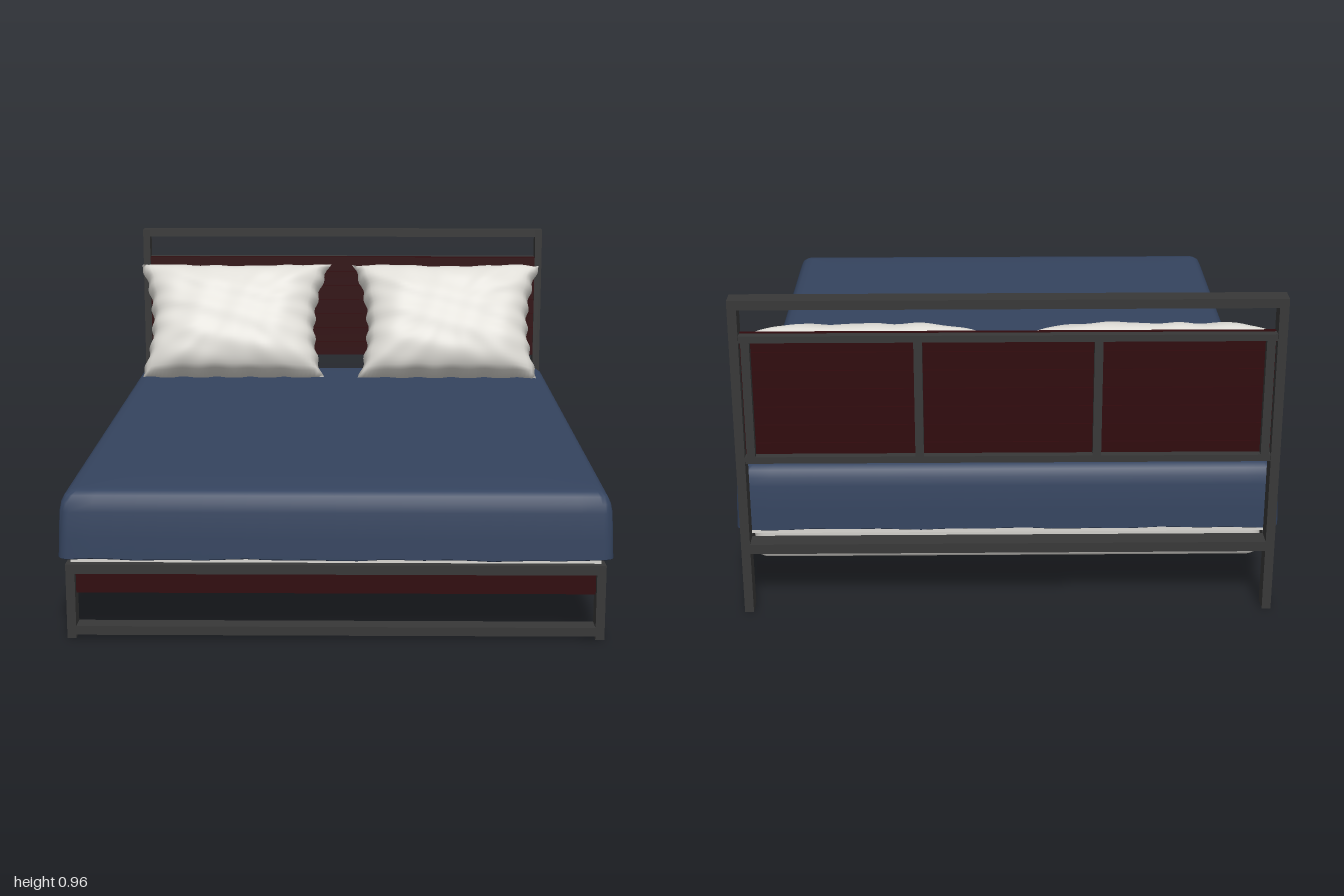
import * as THREE from 'three';
import { mergeGeometries, mergeVertices, toCreasedNormals } from 'three/addons/utils/BufferGeometryUtils.js';

const mat = (name, color, side = THREE.FrontSide) => {
  const m = new THREE.MeshStandardMaterial({ color, side });
  m.name = name;
  return m;
};

// Closed stack of rounded rectangles; rings are [inset, y] from bottom to top
function loft(hx, zBack, zFront, radius, rings, hemWave = 0) {
  const pos = [], idx = [], perCorner = 5, perEdge = 24;
  const cz = (zBack + zFront) / 2, hz = (zFront - zBack) / 2;
  const outline = (inset) => {
    const r = Math.max(radius - inset * 0.3, 0.005), pts = [];
    const ax = hx - inset - r, az = hz - inset - r;
    const corners = [[ax, az], [-ax, az], [-ax, -az], [ax, -az]];
    corners.forEach(([x, z], c) => {
      for (let i = 0; i <= perCorner; i++) {
        const a = (c + i / perCorner) * Math.PI / 2;
        pts.push([x + r * Math.cos(a), z + r * Math.sin(a)]);
      }
      const [x0, z0] = pts[pts.length - 1], [nx, nz] = corners[(c + 1) % 4];
      const a = (c + 1) * Math.PI / 2;
      const x1 = nx + r * Math.cos(a), z1 = nz + r * Math.sin(a);
      for (let i = 1; i < perEdge; i++) {
        const t = i / perEdge;
        pts.push([x0 + (x1 - x0) * t, z0 + (z1 - z0) * t]);
      }
    });
    return pts;
  };
  let n = 0;
  rings.forEach(([inset, y], k) => {
    const pts = outline(inset);
    n = pts.length;
    pts.forEach(([x, z]) => {
      const wave = k < 2 ? hemWave * (Math.sin(x * 31 + z * 23) + Math.sin(x * 13 - z * 47)) : 0;
      pos.push(x, y + wave, z + cz);
    });
  });
  for (let k = 0; k < rings.length - 1; k++) {
    for (let i = 0; i < n; i++) {
      const a = k * n + i, b = k * n + (i + 1) % n;
      idx.push(a, a + n, b, b, a + n, b + n);
    }
  }
  // Bottom and top caps
  const top = (rings.length - 1) * n, c = pos.length / 3;
  pos.push(0, rings[0][1], cz, 0, rings[rings.length - 1][1], cz);
  for (let i = 0; i < n; i++) {
    const j = (i + 1) % n;
    idx.push(c, i, j, c + 1, top + j, top + i);
  }
  const g = new THREE.BufferGeometry();
  g.setAttribute('position', new THREE.Float32BufferAttribute(pos, 3));
  g.setIndex(idx);
  return toCreasedNormals(g, 0.7);
}

// Leaning pillow: two bulged sheets joined at a seam, pinched between the corners
function pillowGeometry(seed) {
  const halves = [1, -1].map((side) => {
    const g = new THREE.PlaneGeometry(2, 2, 44, 36);
    if (side < 0) g.rotateY(Math.PI);
    const p = g.attributes.position;
    for (let i = 0; i < p.count; i++) {
      const u = p.getX(i), v = p.getY(i);
      const edge = Math.max(0, (1 - u ** 4) * (1 - v ** 4));
      const folds = Math.sin(u * 9 + v * 5 + seed) * Math.sin(v * 8 - u * 4 + seed * 2)
        + 0.7 * Math.sin(Math.atan2(v, u) * 17 + seed) * Math.hypot(u, v) ** 3;
      const bulge = side * (0.128 * Math.sqrt(edge) + 0.005 * folds * Math.sqrt(edge));
      const ripple = 0.005 * Math.sin(v * 19 + seed) * Math.abs(u) ** 8;
      const x = u * (0.353 + 0.012 * v - 0.045 * (1 - v * v)) + ripple;
      const t = (v + 1) / 2;
      const sag = 0.018 * v * (1 - u * u) * (v > 0 ? 1 : 0) + 0.003 * Math.sin(u * 17 + seed) * v ** 8;
      const y = 0.435 + 0.395 * t - sag + bulge * 0.545;
      const z = -0.69 - 0.24 * t + bulge * 0.84;
      p.setXYZ(i, x, Math.max(0.432, y), Math.max(-0.944, z));
    }
    g.deleteAttribute('uv');
    g.deleteAttribute('normal');
    return g;
  });
  const g = mergeVertices(mergeGeometries(halves), 1e-5);
  g.computeVertexNormals();
  return g;
}

export function createModel() {
  const model = new THREE.Group();
  model.name = 'bed';
  const metal = mat('dark metal', 0x383838);
  const wood = mat('dark red wood', 0x300a0d);
  const blue = mat('blue cover', 0x35445f);
  const linen = mat('pillow linen', 0xdfddd7, THREE.DoubleSide);
  const white = mat('mattress white', 0xd9d7d2);

  const add = (name, geometry, material, parent = model) => {
    const m = new THREE.Mesh(geometry, material);
    m.name = name;
    parent.add(m);
    return m;
  };
  // Box given by its limits on each axis
  const box = (name, material, [x0, x1], [y0, y1], [z0, z1], parent) => {
    const m = add(name, new THREE.BoxGeometry(x1 - x0, y1 - y0, z1 - z0), material, parent);
    m.position.set((x0 + x1) / 2, (y0 + y1) / 2, (z0 + z1) / 2);
  };

  const W = 0.768, B = 0.026, inner = [-W + B, W - B];
  const backZ = [-1, -0.945], frontZ = [0.93, 0.985];

  // Posts, legs and side rails
  const frame = new THREE.Group();
  frame.name = 'frame';
  model.add(frame);
  for (const [s, side] of [[1, 'left'], [-1, 'right']]) {
    const xs = s > 0 ? [W - B, W] : [-W, -W + B];
    box(side + 'HeadPost', metal, xs, [0, 0.965], backZ, frame);
    box(side + 'FootLeg', metal, xs, [0, 0.22], frontZ, frame);
    box(side + 'SideRail', metal, xs, [0.165, 0.22], [-0.945, 0.93], frame);
  }
  // Cross rails
  box('headTopRail', metal, inner, [0.938, 0.965], backZ, frame);
  box('headLowerRail', metal, inner, [0.19, 0.22], backZ, frame);
  box('footTopRail', metal, inner, [0.192, 0.22], frontZ, frame);
  box('footLowerRail', metal, inner, [0.01, 0.036], frontZ, frame);
  box('footPanel', wood, inner, [0.13, 0.192], [0.945, 0.965], frame);

  // Headboard planks on a backing board
  const headboard = new THREE.Group();
  headboard.name = 'headboard';
  model.add(headboard);
  const planks = 7, y0 = 0.475, y1 = 0.86, step = (y1 - y0) / planks;
  box('backingBoard', wood, inner, [y0, y1], [-0.968, -0.958], headboard);
  for (let i = 0; i < planks; i++) {
    const y = y0 + i * step;
    box('plank', wood, inner, [y + 0.002, y + step - 0.002], [-0.973, -0.952], headboard);
  }
  // Thin metal frame behind the planks
  box('panelBottomBar', metal, inner, [y0, y0 + 0.02], [-0.996, -0.973], headboard);
  box('panelTopBar', metal, inner, [y1 - 0.02, y1], [-0.996, -0.973], headboard);
  for (const x of [-0.725, -0.25, 0.25, 0.725]) {
    box('panelUpright', metal, [x - 0.012, x + 0.012], [y0 + 0.02, y1 - 0.02], [-0.996, -0.973], headboard);
  }

  // White mattress resting in the frame, with a softly rounded underside
  add('mattress', loft(0.741, -0.925, 0.93, 0.03, [
    [0.03, 0.13], [0.015, 0.134], [0.004, 0.145], [0, 0.16], [0, 0.3],
  ]), white);
  box('mattressEdge', white, [-0.755, 0.755], [0.221, 0.245], [-0.93, 0.965]);

  // Blue cover with rounded top edges and a wavy hem
  add('cover', loft(0.788, -0.944, 0.998, 0.03, [
    [0.004, 0.237], [0, 0.24], [0.002, 0.30], [0.006, 0.375], [0.011, 0.40],
    [0.021, 0.42], [0.036, 0.431], [0.06, 0.434], [0.2, 0.435],
  ], 0.0015), blue);

  // Two pillows leaning on the headboard
  add('rightPillow', pillowGeometry(1.3), linen).position.x = -0.412;
  const left = add('leftPillow', pillowGeometry(4.1), linen);
  left.position.x = 0.4;
  left.scale.x = 0.985;
  return model;
}
